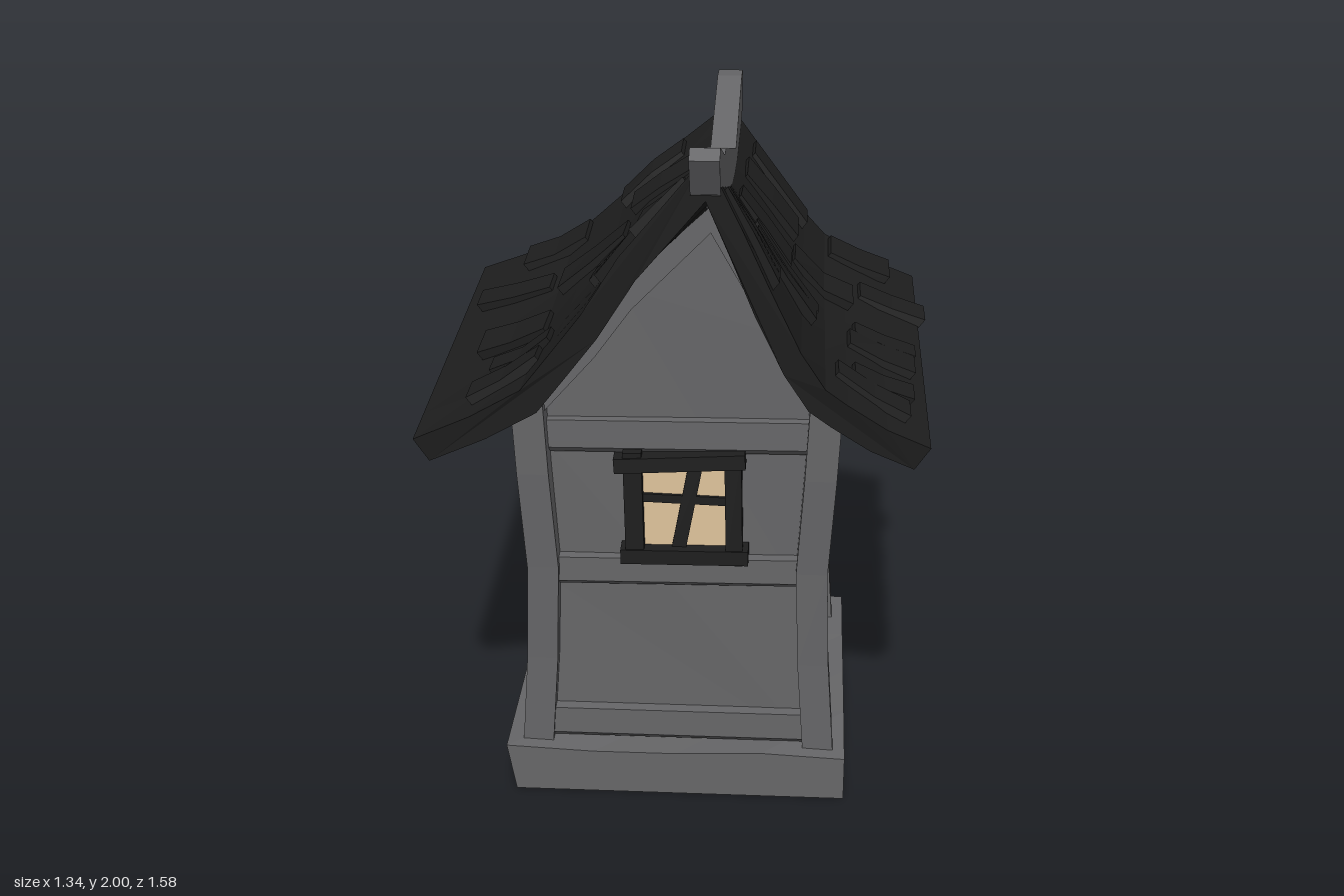
import * as THREE from 'three';

const mat = (name, color) => new THREE.MeshStandardMaterial({ name, color, flatShading: true });

// piecewise linear lookup in ascending [key, value] pairs
function lookup(keys, k) {
  if (k <= keys[0][0]) return keys[0][1];
  for (let i = 1; i < keys.length; i++) {
    const [k0, v0] = keys[i - 1], [k1, v1] = keys[i];
    if (k <= k1) return v0 + (v1 - v0) * (k - k0) / (k1 - k0);
  }
  return keys[keys.length - 1][1];
}

// sagging ridge height along z, and the concave slope of each roof side
const RIDGE_X = 0.09, EAVE_Y = 1.17;
const ridgeY = [[-0.7, 1.69], [-0.27, 1.67], [0.1, 1.74], [0.5, 1.89], [0.72, 1.97]];
const slopeLeft = [[0, 1], [0.19, 0.72], [0.37, 0.42], [0.5, 0.25], [0.75, 0.1], [1, 0]];
const slopeRight = [[0, 1], [0.28, 0.68], [0.41, 0.48], [0.62, 0.21], [0.8, 0.1], [1, 0]];
const halfWidth = s => (s > 0 ? 0.565 : 0.75);

function roofY(x, z) {
  const s = x > RIDGE_X ? 1 : -1;
  const u = Math.abs(x - RIDGE_X) / halfWidth(s);
  return EAVE_Y + (lookup(ridgeY, z) - EAVE_Y) * lookup(s > 0 ? slopeLeft : slopeRight, u);
}

// closed solid through rings of points, anticlockwise seen from +z, ordered back to front
function loft(rings) {
  const pos = [], n = rings[0].length;
  const tri = (...pts) => pts.forEach(p => pos.push(...p));
  for (let i = 0; i + 1 < rings.length; i++) {
    for (let j = 0; j < n; j++) {
      const k = (j + 1) % n, A = rings[i], B = rings[i + 1];
      tri(A[j], A[k], B[k]);
      tri(A[j], B[k], B[j]);
    }
  }
  const cap = (ring, flip) => {
    const faces = THREE.ShapeUtils.triangulateShape(ring.map(p => new THREE.Vector2(p[0], p[1])), []);
    for (const [a, b, c] of faces) flip ? tri(ring[a], ring[c], ring[b]) : tri(ring[a], ring[b], ring[c]);
  };
  cap(rings[0], true);
  cap(rings[rings.length - 1], false);
  const g = new THREE.BufferGeometry();
  g.setAttribute('position', new THREE.Float32BufferAttribute(pos, 3));
  g.computeVertexNormals();
  return g;
}

// moves every vertex by a rule
function warp(g, rule) {
  const p = g.attributes.position, v = new THREE.Vector3();
  for (let i = 0; i < p.count; i++) {
    rule(v.fromBufferAttribute(p, i));
    p.setXYZ(i, v.x, v.y, v.z);
  }
  g.computeVertexNormals();
  return g;
}

export function createModel() {
  const grey = mat('grey timber', 0x666668);
  const dark = mat('dark shingle', 0x1e1e1e);
  const glow = mat('warm pane', 0xdfc49c);
  const model = new THREE.Group();
  const add = (name, geometry, material, parent = model) => {
    const m = new THREE.Mesh(geometry, material);
    m.name = name;
    parent.add(m);
    return m;
  };
  const box = (name, w, h, d, x, y, z, material, parent, tilt = 0) => {
    const m = add(name, new THREE.BoxGeometry(w, h, d), material, parent);
    m.position.set(x, y, z);
    m.rotation.z = tilt;
    return m;
  };

  // uneven stone plinth
  add('plinth', warp(new THREE.BoxGeometry(0.94, 0.135, 0.92, 4, 1, 4), v => {
    const top = v.y > 0;
    if (top) v.y += 0.007 * Math.sin(v.x * 9 + v.z * 7 + 2.6);
    if (v.x < -0.4) v.x += top ? -0.01 : 0.015;
    v.y += 0.0675;
    v.z -= 0.03;
  }), grey);

  // walls pinched at mid height, with gables that follow the roof
  const wallRing = (z0, z1) => {
    const pts = [[-0.365, 0.12], [0.375, 0.12], [0.33, 0.62], [0.375, 1.08]];
    for (const x of [0.375, 0.3, 0.2, 0.09, -0.03, -0.15, -0.26, -0.365]) pts.push([x, roofY(x, z1) - 0.08]);
    pts.push([-0.365, 1.08], [-0.33, 0.62]);
    return pts.map(([x, y]) => [x, y, y > 0.7 ? z1 : z0]);
  };
  add('walls', loft([wallRing(-0.41, -0.41), wallRing(0.0, 0.0), wallRing(0.345, 0.355)]), grey);

  // horizontal timber bands around the walls, with a slanted lower lip
  for (const [y, h, w, tilt] of [[0.19, 0.1, 0.755, 0], [0.68, 0.09, 0.71, 0.012], [1.085, 0.1, 0.775, 0.01]]) {
    const band = add('wallBand', warp(new THREE.BoxGeometry(w, h, 0.82, 1, 5, 1), v => {
      if (v.y < -h * 0.4) {
        v.x *= 0.95;
        v.z *= 0.95;
      }
    }), grey);
    band.position.set(0, y, -0.03);
    band.rotation.z = tilt;
  }

  // bent corner posts
  for (const sx of [-1, 1]) {
    for (const front of [true, false]) {
      const top = front ? 1.28 : 1.2, h = top - 0.12;
      add('cornerPost', warp(new THREE.BoxGeometry(0.085, h, 0.09, 1, 4, 1), v => {
        v.y += 0.12 + h / 2;
        v.x += lookup([[0.12, 0.395], [0.62, 0.36], [0.95, 0.38], [1.28, 0.395]], v.y) * sx;
        v.z += front ? lookup([[0.12, 0.345], [0.62, 0.352], [1.1, 0.385]], v.y)
          : lookup([[0.12, -0.405], [0.62, -0.405], [1.1, -0.412]], v.y);
      }), grey);
    }
  }

  // gable boards under the roof at both ends
  for (const [z, name] of [[0.345, 'frontGableBoard'], [-0.445, 'backGableBoard']]) {
    const xs = [-0.5, -0.38, -0.22, -0.12, 0.0, RIDGE_X, 0.2, 0.3, 0.38, 0.48];
    const upper = xs.map(x => new THREE.Vector2(x, roofY(x, z) - 0.06));
    const lower = xs.map(x => new THREE.Vector2(x * 0.97, roofY(x, z) - (Math.abs(x) > 0.45 ? 0.105 : 0.165)));
    const shape = new THREE.Shape([...lower, ...upper.reverse()]);
    add(name, new THREE.ExtrudeGeometry(shape, { depth: 0.05, bevelEnabled: false }), grey).position.z = z;
  }

  // thick roof slab, swept back to front
  const us = [0, 0.15, 0.28, 0.41, 0.52, 0.62, 0.8, 1];
  const rings = [];
  for (let i = 0; i <= 8; i++) {
    const point = (s, u, inner) => {
      const x = RIDGE_X + s * u * halfWidth(s);
      const z = THREE.MathUtils.lerp(-0.7 + 0.05 * u, 0.72 - (s > 0 ? 0.14 : 0.12) * u, i / 8);
      const y = roofY(x, z);
      return inner ? [x - s * 0.04 * Math.min(1, u * 4), y - 0.06 - 0.05 * Math.max(0, 1 - u * 4), z] : [x, y, z];
    };
    const across = inner => [
      ...us.slice(1).reverse().map(u => point(-1, u, inner)),
      ...us.map(u => point(1, u, inner)),
    ];
    rings.push([...across(true), ...across(false).reverse()]);
  }
  add('roof', loft(rings), dark);

  // loose shingles: centre x, centre z, width, depth
  const shingles = [
    [-0.41, -0.56, 0.18, 0.16], [-0.5, -0.28, 0.21, 0.12], [-0.12, -0.56, 0.17, 0.12], [-0.08, -0.36, 0.16, 0.14],
    [-0.26, -0.17, 0.18, 0.18], [-0.04, 0.05, 0.13, 0.24], [-0.45, 0.12, 0.18, 0.17], [-0.13, 0.16, 0.16, 0.09],
    [-0.13, 0.27, 0.17, 0.11], [-0.4, 0.36, 0.15, 0.1], [-0.43, 0.47, 0.17, 0.11], [-0.07, 0.44, 0.17, 0.09],
    [-0.09, 0.53, 0.17, 0.1], [-0.02, 0.61, 0.12, 0.1],
    [0.24, -0.57, 0.15, 0.11], [0.48, -0.57, 0.17, 0.15], [0.22, -0.37, 0.14, 0.15], [0.57, -0.31, 0.18, 0.11],
    [0.37, -0.2, 0.16, 0.16], [0.21, 0.0, 0.13, 0.17], [0.27, 0.12, 0.16, 0.08], [0.27, 0.23, 0.15, 0.1],
    [0.54, 0.02, 0.16, 0.08], [0.53, 0.12, 0.17, 0.12], [0.53, 0.34, 0.15, 0.1], [0.5, 0.44, 0.18, 0.1],
    [0.19, 0.44, 0.12, 0.1], [0.19, 0.56, 0.12, 0.12],
  ];
  shingles.forEach(([cx, cz, w, d], i) => {
    const s = cx > RIDGE_X ? 1 : -1, skew = 0.18 * Math.sin(i * 2.3);
    add('shingle', warp(new THREE.BoxGeometry(1, 1, 1, 2, 1, 1), v => {
      const x = cx + v.x * w, z = cz + v.z * d + v.x * w * skew;
      const t = v.y > 0 ? 0.02 + 0.012 * s * v.x : -0.02;
      v.set(x + s * t * 0.6, roofY(x, z) + t * 0.8, z);
    }), dark);
  });

  // crooked ridge beam, drawn in z and y
  const beam = new THREE.Shape([
    [0.79, 1.98], [0.75, 2.0], [0.5, 1.905], [0.43, 1.9], [-0.27, 1.685], [-0.7, 1.775], [-0.785, 1.77],
    [-0.785, 1.65], [-0.68, 1.63], [-0.27, 1.58], [0.1, 1.62], [0.5, 1.77], [0.73, 1.88],
  ].map(p => new THREE.Vector2(...p)));
  const beamGeometry = new THREE.ExtrudeGeometry(beam, { depth: 0.072, bevelEnabled: false });
  beamGeometry.rotateY(-Math.PI / 2).translate(RIDGE_X + 0.036, 0, 0);
  add('ridgeBeam', beamGeometry, grey);

  // crooked windows on the front and the right wall
  const addWindow = (name, x, z, turn) => {
    const w = new THREE.Group();
    w.name = name;
    w.position.set(x, 0.885, z);
    w.rotation.y = turn;
    model.add(w);
    box('panes', 0.26, 0.26, 0.008, 0, 0, 0.014, glow, w);
    box('lintel', 0.35, 0.042, 0.07, -0.008, 0.137, 0.02, dark, w, 0.06);
    box('sill', 0.345, 0.042, 0.07, 0.005, -0.142, 0.02, dark, w, 0.01);
    box('jamb', 0.05, 0.33, 0.06, -0.131, 0.0, 0.02, dark, w, 0.02);
    box('jamb', 0.045, 0.33, 0.06, 0.137, 0.0, 0.02, dark, w, 0.02);
    box('mullion', 0.038, 0.26, 0.028, 0.012, 0.0, 0.015, dark, w, -0.18);
    box('crossbar', 0.24, 0.024, 0.024, 0, 0.02, 0.015, dark, w, -0.03);
  };
  addWindow('frontWindow', 0.015, 0.352, 0);
  addWindow('sideWindow', -0.35, -0.01, -Math.PI / 2);

  return model;
}
